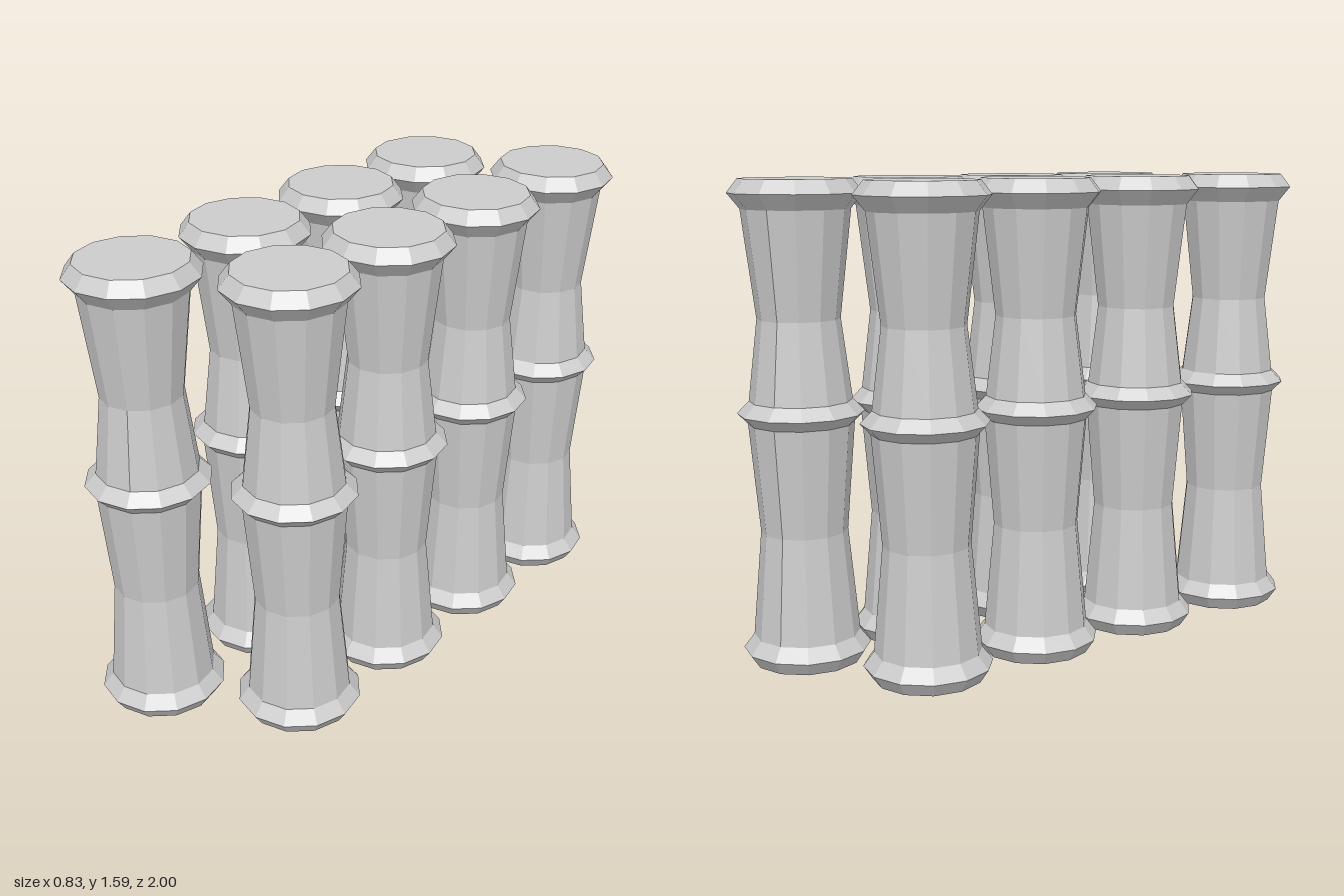
import * as THREE from 'three';

// Radius / height profile of one stalk: flared ends, two waisted segments, a middle joint
const PROFILE = [
  [0, 0], [0.18, 0], [0.21, 0.045], [0.175, 0.09],
  [0.142, 0.44],
  [0.172, 0.8], [0.206, 0.835], [0.167, 0.875],
  [0.134, 1.14],
  [0.175, 1.49], [0.215, 1.54], [0.18, 1.585], [0, 1.585],
].map(([r, y]) => new THREE.Vector2(r, y));

// Two staggered rows of stalks, four in each
const ROWS = [
  { name: 'rightStalk', x: -0.2, z: [0.783, 0.32, -0.128, -0.573] },
  { name: 'leftStalk', x: 0.2, z: [0.527, 0.085, -0.355, -0.785] },
];

export function createModel() {
  const group = new THREE.Group();
  group.name = 'bambooCluster';
  const material = new THREE.MeshStandardMaterial({ color: 0xcccccc, flatShading: true });
  const stalk = new THREE.LatheGeometry(PROFILE, 12);

  for (const row of ROWS) {
    row.z.forEach((z, i) => {
      const mesh = new THREE.Mesh(stalk, material);
      mesh.name = row.name + (i + 1);
      mesh.position.set(row.x, 0, z);
      group.add(mesh);
    });
  }
  return group;
}
